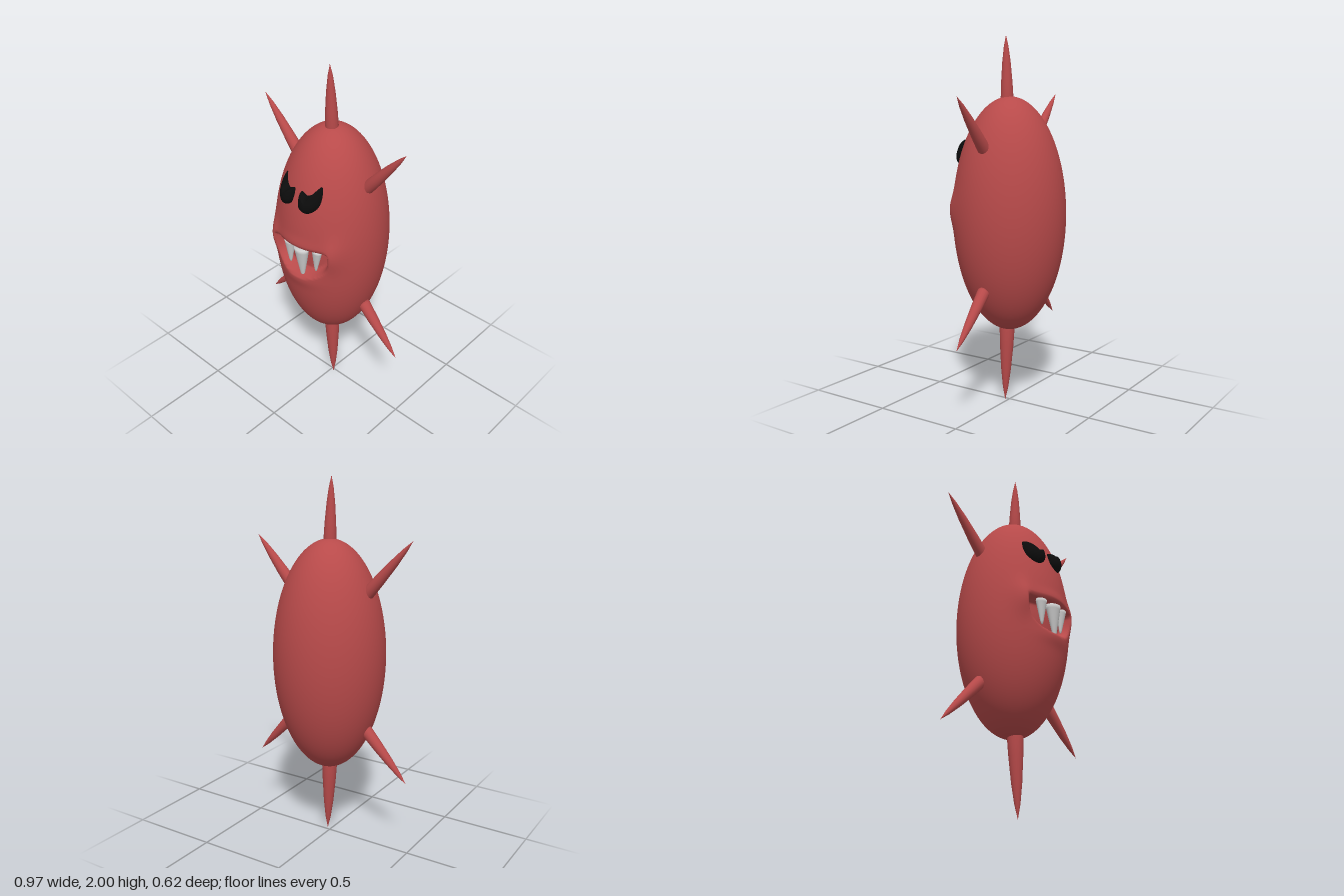
import * as THREE from 'three';
import { mergeVertices } from 'three/addons/utils/BufferGeometryUtils.js';

const CENTER_Y = 1.045, RADIUS = 0.306, HALF_HEIGHT = 0.635;
const red = new THREE.MeshStandardMaterial({ color: 0xb84a4a });
const black = new THREE.MeshStandardMaterial({ color: 0x0c0c0c });
const grey = new THREE.MeshStandardMaterial({ color: 0xcccccc });

const smooth = (x, a, b) => THREE.MathUtils.smoothstep(x, a, b);
const hump = (x, y, cx, cy, w, h) => Math.exp(-(((x - cx) / w) ** 2) - ((y - cy) / h) ** 2);

// Front of the plain ellipsoid at (x, y)
function frontZ(x, y) {
  const t = (y - CENTER_Y) / HALF_HEIGHT;
  return RADIUS * Math.sqrt(Math.max(0, 1 - t * t - (x / RADIUS) ** 2));
}

// Weld positions and compute continuous smooth normals
function smoothed(geometry) {
  geometry.deleteAttribute('uv');
  geometry.deleteAttribute('normal');
  const merged = mergeVertices(geometry, 1e-5);
  merged.computeVertexNormals();
  return merged;
}

function add(group, name, geometry, material) {
  const mesh = new THREE.Mesh(geometry, material);
  mesh.name = name;
  group.add(mesh);
  return mesh;
}

// Ellipsoid with a D-shaped mouth pressed in and raised mouth corners
function bodyGeometry() {
  const g = new THREE.SphereGeometry(1, 200, 160);
  g.scale(RADIUS, HALF_HEIGHT, RADIUS).translate(0, CENTER_Y, 0);
  const p = g.attributes.position;
  for (let i = 0; i < p.count; i++) {
    const x = p.getX(i), y = p.getY(i), z = p.getZ(i);
    if (z <= 0) continue;
    const u = Math.abs(x - 0.022) / 0.18, v = Math.max(0, 1.1 - y) / 0.19;
    const inside = smooth(1 - u ** 2.5 - v ** 2.5, 0, 0.4) * smooth(1.1 - y, 0, 0.02);
    const lips = 0.027 * hump(x, y, -0.175, 1.08, 0.045, 0.09)
      + 0.025 * hump(x, y, 0.215, 1.08, 0.045, 0.09)
      + 0.006 * hump(x, y, 0.02, 1.12, 0.13, 0.03)
      + 0.008 * hump(x, y, 0.02, 0.89, 0.1, 0.04);
    p.setZ(i, z + lips * smooth(z, 0, 0.15) - 0.065 * inside);
  }
  return smoothed(g);
}

// Slightly swollen tapering spike between two points
function addSpike(group, name, base, tip, radius) {
  const a = new THREE.Vector3(...base), b = new THREE.Vector3(...tip);
  const length = a.distanceTo(b);
  const profile = [[0, 0], [0.8, 0.005], [1, 0.04], [0.88, 0.3], [0.65, 0.6], [0.36, 0.83], [0, 1]]
    .map(([r, h]) => new THREE.Vector2(r * radius, h * length));
  const mesh = add(group, name, new THREE.LatheGeometry(profile, 16), red);
  mesh.position.copy(a);
  mesh.quaternion.setFromUnitVectors(new THREE.Vector3(0, 1, 0), b.sub(a).normalize());
}

// Cushion-shaped eye following the body; side = 1 or -1
function eyeGeometry(side) {
  const outline = new THREE.CatmullRomCurve3(
    [[0.118, 1.453], [0.132, 1.4], [0.122, 1.345], [0.078, 1.31], [0.032, 1.33],
      [0.018, 1.38], [0.024, 1.413], [0.06, 1.4], [0.092, 1.418]]
      .map(([x, y]) => new THREE.Vector3(x, y, 0)), true).getPoints(48).slice(0, 48);
  const cx = 0.076, cy = 1.372, rings = 10, n = outline.length;
  const pos = [], index = [];
  for (let r = 0; r <= rings; r++) {
    const s = Math.sin((r / rings) * Math.PI / 2);
    for (const q of outline) {
      const x = cx + (q.x - cx) * s, y = cy + (q.y - cy) * s;
      pos.push(side * x, y, frontZ(x, y) - 0.006 + 0.05 * Math.sqrt(Math.max(0, 1 - s * s)));
    }
  }
  // Skirt sunk into the body
  for (const q of outline) pos.push(side * q.x, q.y, frontZ(q.x, q.y) - 0.03);
  for (let r = 0; r <= rings; r++) {
    for (let i = 0; i < n; i++) {
      const a = r * n + i, b = r * n + (i + 1) % n, c = a + n, d = b + n;
      // The outline runs clockwise on the +x side
      if (side > 0) index.push(a, d, c, a, b, d);
      else index.push(a, c, d, a, d, b);
    }
  }
  const g = new THREE.BufferGeometry();
  g.setAttribute('position', new THREE.Float32BufferAttribute(pos, 3));
  g.setIndex(index);
  const merged = mergeVertices(g, 1e-5);
  merged.computeVertexNormals();
  return merged;
}

// Blunt-tipped fang hanging from the upper lip
function addTooth(group, name, x, tipX, top, tip, radius) {
  const h = top - tip;
  const profile = [[0, -h], [0.16, -h * 0.985], [0.3, -h * 0.88], [0.62, -h * 0.5], [0.93, -h * 0.12], [1, 0], [0, 0.006]]
    .map(([r, y]) => new THREE.Vector2(r * radius, y));
  const mesh = add(group, name, new THREE.LatheGeometry(profile, 20), grey);
  mesh.scale.z = 0.75;
  mesh.position.set(x, top, frontZ(x, top) - 0.03);
  mesh.rotation.z = Math.atan2(tipX - x, h);
}

export function createModel() {
  const model = new THREE.Group();
  model.name = 'spikyCreature';
  add(model, 'body', bodyGeometry(), red);

  const spikes = new THREE.Group();
  spikes.name = 'spikes';
  addSpike(spikes, 'topSpike', [0.006, 1.65, 0.012], [0.002, 2, 0.022], 0.035);
  addSpike(spikes, 'bottomSpike', [0.006, 0.45, 0.012], [0.022, 0, 0.015], 0.043);
  addSpike(spikes, 'upperRightSpike', [-0.222, 1.4, 0], [-0.485, 1.7, 0], 0.034);
  addSpike(spikes, 'upperLeftSpike', [0.23, 1.4, 0], [0.465, 1.675, 0], 0.034);
  addSpike(spikes, 'lowerRightSpike', [-0.22, 0.672, 0.005], [-0.48, 0.402, 0.005], 0.034);
  addSpike(spikes, 'lowerLeftSpike', [0.23, 0.672, 0.005], [0.48, 0.402, 0.005], 0.034);
  model.add(spikes);

  add(model, 'leftEye', eyeGeometry(1), black);
  add(model, 'rightEye', eyeGeometry(-1), black);

  const teeth = new THREE.Group();
  teeth.name = 'teeth';
  addTooth(teeth, 'rightTooth', -0.052, -0.05, 1.093, 0.955, 0.034);
  addTooth(teeth, 'middleTooth', 0.034, 0.04, 1.085, 0.905, 0.045);
  addTooth(teeth, 'leftTooth', 0.122, 0.112, 1.095, 0.96, 0.031);
  model.add(teeth);
  return model;
}
